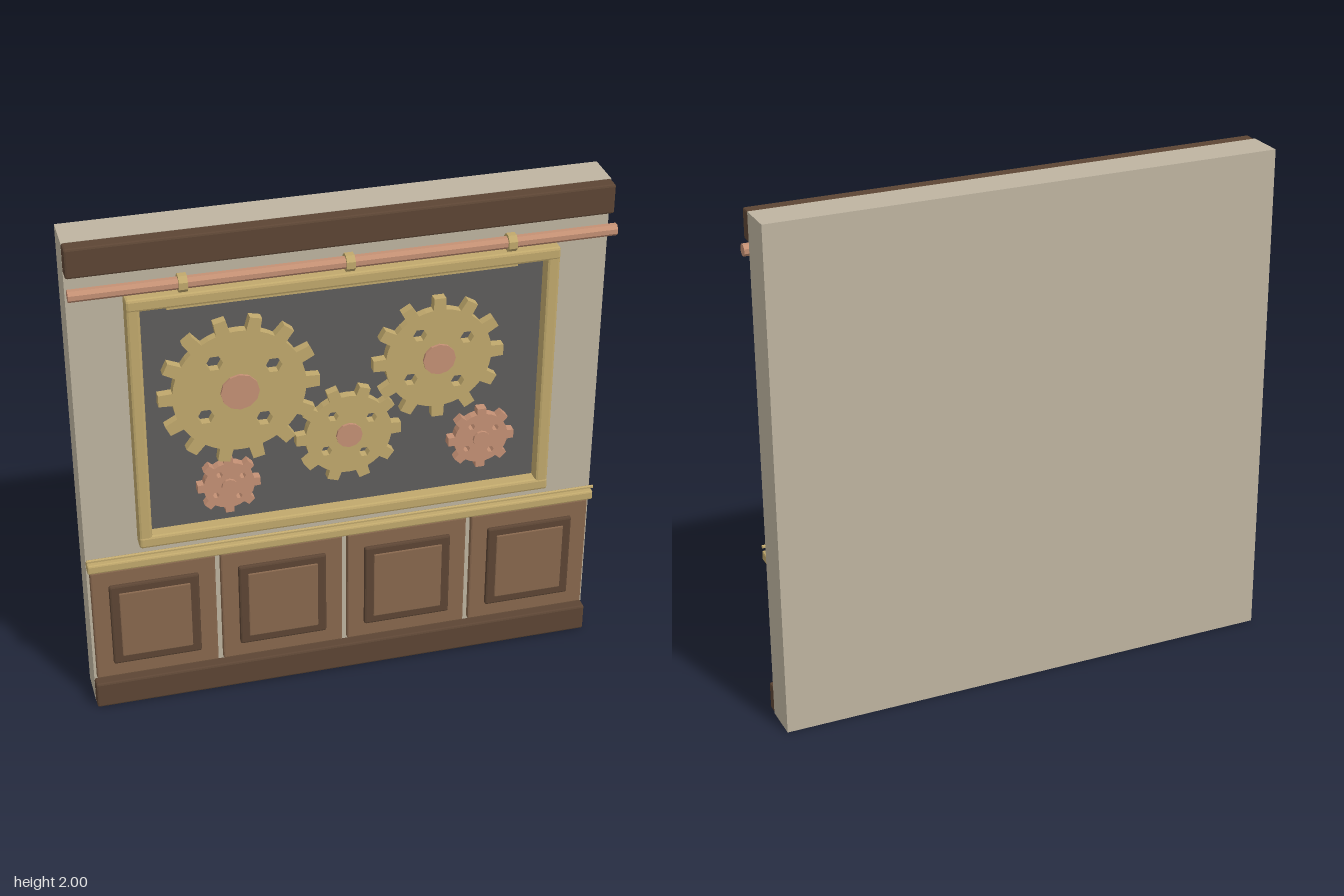
import * as THREE from 'three';
import { RoundedBoxGeometry } from 'three/addons/geometries/RoundedBoxGeometry.js';

function material(name, color) {
  const m = new THREE.MeshStandardMaterial({ color });
  m.name = name;
  return m;
}

export function createModel() {
  const plaster = material('plaster', 0xbeb4a0);
  const darkWood = material('dark wood', 0x5c4534);
  const wood = material('wood', 0x87674d);
  const brass = material('brass', 0xc0a86c);
  const copper = material('copper', 0xc49074);
  const slate = material('slate', 0x5e5c5b);

  const model = new THREE.Group();
  model.name = 'gearWallPanel';

  function add(name, geometry, mat, x = 0, y = 0, z = 0, parent = model) {
    const mesh = new THREE.Mesh(geometry, mat);
    mesh.name = name;
    mesh.position.set(x, y, z);
    parent.add(mesh);
    return mesh;
  }

  // Box given by its extents, with chamfered edges when bevel > 0
  function block(name, mat, [x0, x1], [y0, y1], [z0, z1], bevel = 0, parent = model) {
    const size = [x1 - x0, y1 - y0, z1 - z0];
    const g = bevel ? new RoundedBoxGeometry(...size, 1, bevel) : new THREE.BoxGeometry(...size);
    if (bevel) g.computeVertexNormals();
    return add(name, g, mat, (x0 + x1) / 2, (y0 + y1) / 2, (z0 + z1) / 2, parent);
  }

  // Faceted rod along x
  function rod(name, mat, radius, length, sides, x, y, z) {
    const g = new THREE.CylinderGeometry(radius, radius, length, sides).toNonIndexed();
    g.rotateX(0);
    g.rotateY(Math.PI / sides);
    g.rotateZ(Math.PI / 2);
    g.computeVertexNormals();
    return add(name, g, mat, x, y, z);
  }

  // Wall slab with top beam and baseboard
  block('wall', plaster, [-1, 1], [0, 2], [-0.13, 0.02]);
  block('topBeam', darkWood, [-1, 1], [1.885, 2], [0.015, 0.075], 0.008);
  block('baseboard', darkWood, [-1, 1], [0, 0.112], [0.015, 0.066], 0.008);

  // Wainscot panels
  for (const x of [-0.75, -0.25, 0.25, 0.75]) {
    const panel = new THREE.Group();
    panel.name = 'wainscotPanel';
    panel.position.x = x;
    model.add(panel);
    block('panelBoard', wood, [-0.24, 0.24], [0.122, 0.622], [0.015, 0.042], 0.007, panel);
    block('panelMoulding', darkWood, [-0.173, 0.173], [0.19, 0.556], [0.03, 0.056], 0.008, panel);
    block('panelCentre', wood, [-0.138, 0.138], [0.226, 0.522], [0.045, 0.061], 0.004, panel);
  }

  // Chair rail with a thin bead above it
  block('chairRail', brass, [-1, 1], [0.635, 0.674], [0.02, 0.068], 0.007);
  rod('railBead', brass, 0.007, 2, 6, 0, 0.692, 0.06);

  // Picture frame around the gear display
  block('backPanel', slate, [-0.77, 0.77], [0.75, 1.76], [0.02, 0.035]);
  for (const s of [-1, 1]) {
    const cy = 1.255 + s * 0.5;
    block('frameRail', brass, [-0.8, 0.8], [cy - 0.025, cy + 0.025], [0.02, 0.086], 0.01);
    block('frameStile', brass, [s * 0.775 - 0.025, s * 0.775 + 0.025], [0.735, 1.775], [0.02, 0.084], 0.01);
  }
  block('displayStrip', brass, [-0.65, 0.65], [1.704, 1.714], [0.035, 0.045]);

  // Gear plate with straight teeth, four hexagonal holes and a hub
  function gear(x, y, outer, root, teeth, hubRadius, mat, zBack = 0.045, zFront = 0.08) {
    const group = new THREE.Group();
    group.name = 'gear';
    group.position.set(x, y, 0);
    model.add(group);
    const shape = new THREE.Shape();
    const pitch = (Math.PI * 2) / teeth;
    for (let i = 0; i < teeth; i++) {
      const profile = [[root, -0.23], [outer, -0.17], [outer, 0.17], [root, 0.23], [root, 0.5]];
      profile.forEach(([r, t], k) => {
        const a = (i + t) * pitch;
        shape[i + k ? 'lineTo' : 'moveTo'](r * Math.cos(a), r * Math.sin(a));
      });
    }
    shape.closePath();
    for (let i = 0; i < 4; i++) {
      const a = 0.61 + (i * Math.PI) / 2;
      const points = [];
      for (let k = 0; k < 6; k++) {
        const b = (-k * Math.PI) / 3;
        points.push(new THREE.Vector2(
          outer * (0.52 * Math.cos(a) + 0.105 * Math.cos(b)),
          outer * (0.52 * Math.sin(a) + 0.105 * Math.sin(b))));
      }
      shape.holes.push(new THREE.Path(points));
    }
    const plate = new THREE.ExtrudeGeometry(shape, { depth: zFront - zBack, bevelEnabled: false });
    add('gearPlate', plate, mat, 0, 0, zBack, group);
    const depth = 0.09 - zBack;
    const hub = new THREE.CylinderGeometry(hubRadius, hubRadius, depth, 12).toNonIndexed();
    hub.rotateX(Math.PI / 2);
    hub.computeVertexNormals();
    add('gearHub', hub, copper, 0, 0, zBack + depth / 2, group);
  }
  gear(-0.403, 1.355, 0.3, 0.248, 14, 0.072, brass);
  gear(0.347, 1.38, 0.25, 0.203, 12, 0.062, brass);
  gear(0.005, 1.105, 0.202, 0.165, 10, 0.05, brass);
  gear(-0.453, 0.955, 0.12, 0.097, 8, 0.03, copper);
  gear(0.523, 1.005, 0.13, 0.105, 8, 0.033, copper);

  // Copper pipe with brass collars
  rod('pipe', copper, 0.023, 2, 8, 0, 1.835, 0.098);
  for (const x of [-0.6, 0, 0.6]) rod('pipeCollar', brass, 0.034, 0.032, 8, x, 1.835, 0.098);

  return model;
}
